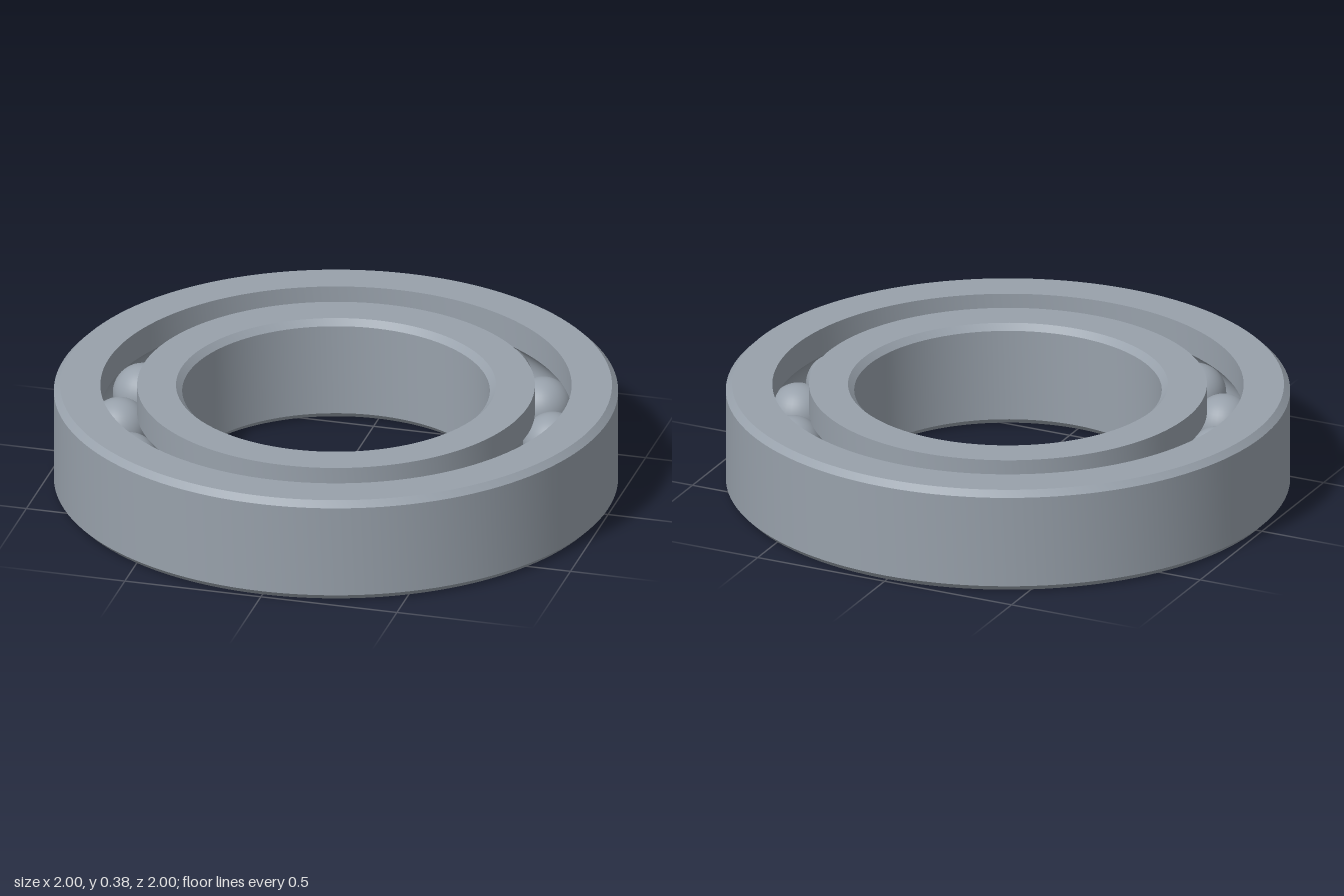
import * as THREE from 'three';
import { toCreasedNormals } from 'three/addons/utils/BufferGeometryUtils.js';

const HEIGHT = 0.383, MID = HEIGHT / 2, CHAMFER = 0.022;
const OUTER_R = 1, OUTER_LIP = 0.835, INNER_LIP = 0.705, BORE_R = 0.545;
const PITCH_R = 0.77, BALL_R = 0.106, GROOVE_R = 0.108, BALLS = 16;

// Arc of the ball groove, cut into a lip; side +1 is the outer ring, -1 the inner ring
function groove(lip, side) {
  const half = Math.acos(Math.abs(lip - PITCH_R) / GROOVE_R);
  const points = [];
  for (let i = 0; i <= 16; i++) {
    const a = -half + (2 * half * i) / 16;
    points.push([PITCH_R + side * GROOVE_R * Math.cos(a), MID - side * GROOVE_R * Math.sin(a)]);
  }
  return points;
}

// Revolve a closed profile, keeping its corners sharp
function ring(name, profile, material) {
  const points = [...profile, profile[0]].map(([r, y]) => new THREE.Vector2(r, y));
  const mesh = new THREE.Mesh(toCreasedNormals(new THREE.LatheGeometry(points, 128), 0.5), material);
  mesh.name = name;
  return mesh;
}

export function createModel() {
  const model = new THREE.Group();
  model.name = 'ballBearing';
  const steel = new THREE.MeshStandardMaterial({ color: 0x98a1ab });
  steel.name = 'steel';

  // Outer ring: chamfered rim, grooved inside
  model.add(ring('outerRing', [
    [OUTER_LIP, 0],
    [OUTER_R - CHAMFER, 0],
    [OUTER_R, CHAMFER],
    [OUTER_R, HEIGHT - CHAMFER],
    [OUTER_R - CHAMFER, HEIGHT],
    [OUTER_LIP, HEIGHT],
    ...groove(OUTER_LIP, 1),
  ], steel));

  // Inner ring: chamfered bore, grooved outside
  model.add(ring('innerRing', [
    [INNER_LIP, HEIGHT],
    [BORE_R + CHAMFER, HEIGHT],
    [BORE_R, HEIGHT - CHAMFER],
    [BORE_R, CHAMFER],
    [BORE_R + CHAMFER, 0],
    [INNER_LIP, 0],
    ...groove(INNER_LIP, -1),
  ], steel));

  // Balls, evenly spaced between the rings
  const balls = new THREE.Group();
  balls.name = 'balls';
  const ballGeometry = new THREE.SphereGeometry(BALL_R, 32, 24);
  for (let i = 0; i < BALLS; i++) {
    const a = THREE.MathUtils.degToRad(10.8) + (i * 2 * Math.PI) / BALLS;
    const ball = new THREE.Mesh(ballGeometry, steel);
    ball.name = 'ball' + (i + 1);
    ball.position.set(PITCH_R * Math.cos(a), MID, -PITCH_R * Math.sin(a));
    balls.add(ball);
  }
  model.add(balls);
  return model;
}
